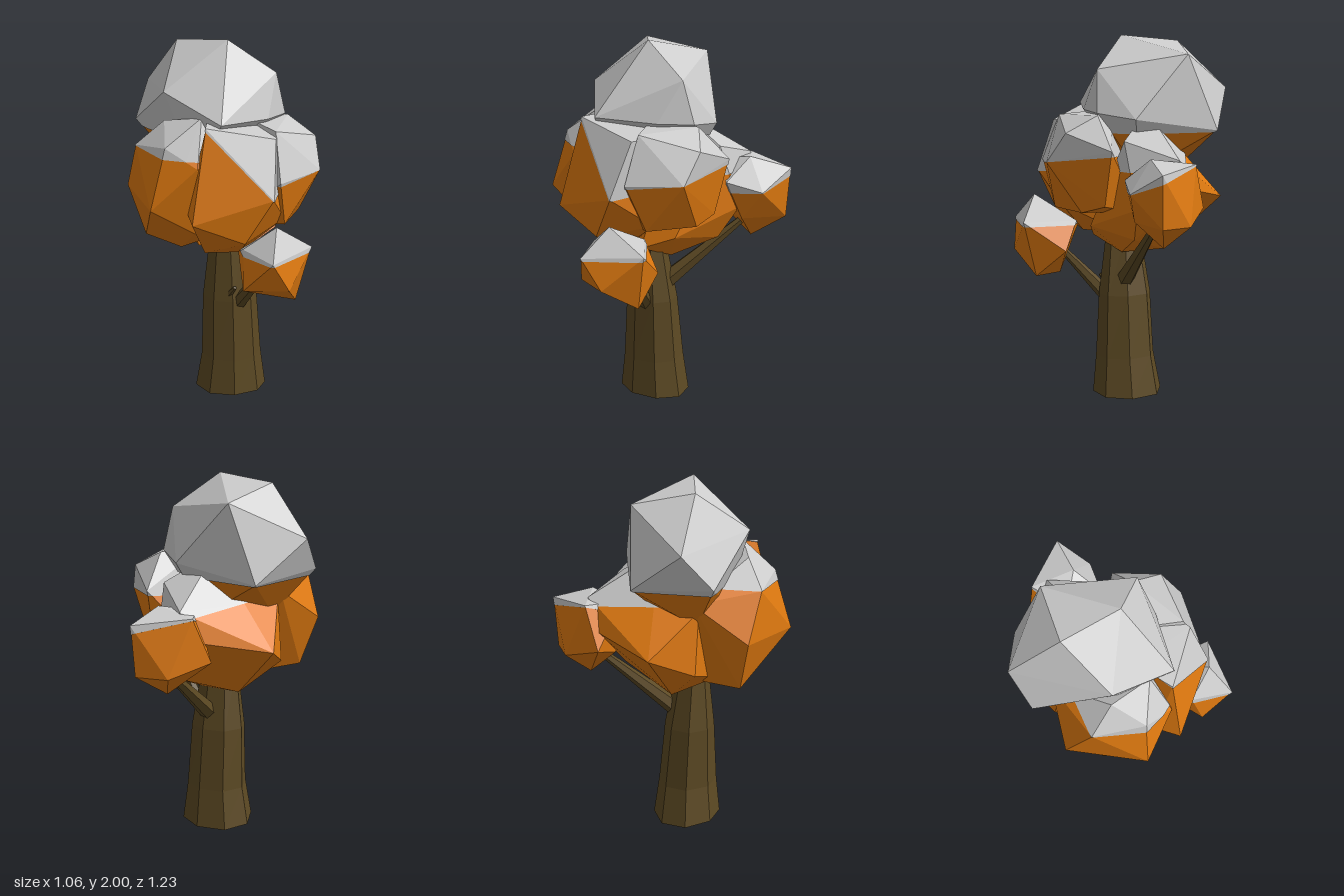
import * as THREE from 'three';
import { ConvexGeometry } from 'three/addons/geometries/ConvexGeometry.js';

const V = (a) => new THREE.Vector3(...a);
const leafMat = new THREE.MeshStandardMaterial({ color: 0xe07a10, flatShading: true });
const barkMat = new THREE.MeshStandardMaterial({ color: 0x5c4923, flatShading: true });
const snowMat = new THREE.MeshStandardMaterial({ color: 0xcccccc, flatShading: true });

// Part of a convex point set lying above a plane
function above(points, plane) {
  const up = points.filter((p) => plane.distanceToPoint(p) >= 0);
  const down = points.filter((p) => plane.distanceToPoint(p) < 0);
  const cut = [];
  for (const a of up) {
    for (const b of down) {
      const da = plane.distanceToPoint(a), db = plane.distanceToPoint(b);
      cut.push(a.clone().lerp(b, da / (da - db)));
    }
  }
  return [...up, ...cut];
}

// Faceted clump of leaves with a snow cap above a tilted plane
function clump(name, corners, normal, through) {
  const group = new THREE.Group();
  group.name = name;
  const pts = corners.map(V);
  const mid = new THREE.Box3().setFromPoints(pts).getCenter(new THREE.Vector3());
  const inner = pts.map((p) => p.clone().sub(mid).multiplyScalar(0.985).add(mid));
  const leaves = new THREE.Mesh(new ConvexGeometry(inner), leafMat);
  leaves.name = name + 'Leaves';
  const plane = new THREE.Plane().setFromNormalAndCoplanarPoint(V(normal).normalize(), V(through));
  const snow = new THREE.Mesh(new ConvexGeometry(above(pts, plane)), snowMat);
  snow.name = name + 'Snow';
  group.add(leaves, snow);
  return group;
}

// Tapered branch between two points
function branch(name, from, to, r0, r1) {
  const a = V(from), b = V(to), dir = b.clone().sub(a);
  const mesh = new THREE.Mesh(new THREE.CylinderGeometry(r1, r0, dir.length(), 6), barkMat);
  mesh.position.copy(a).add(b).multiplyScalar(0.5);
  mesh.quaternion.setFromUnitVectors(new THREE.Vector3(0, 1, 0), dir.normalize());
  mesh.name = name;
  return mesh;
}

// Leaning trunk: each ring is [y, centre x, centre z, radius x, radius z]
function trunk() {
  const rings = [
    [0.01, 0.032, 0.072, 0.2, 0.19],
    [0.22, 0.037, 0.08, 0.168, 0.165],
    [0.57, 0.03, 0.087, 0.152, 0.138],
    [0.9, 0.022, 0.1, 0.104, 0.088],
    [1.15, 0.02, 0.1, 0.085, 0.075],
  ];
  const geo = new THREE.CylinderGeometry(1, 1, rings.length - 1, 8, rings.length - 1, false, Math.PI / 8);
  const p = geo.attributes.position;
  for (let i = 0; i < p.count; i++) {
    const [y, cx, cz, rx, rz] = rings[Math.round(p.getY(i) + (rings.length - 1) / 2)];
    const tilt = y < 0.1 ? 0.01 * p.getZ(i) : 0;
    // Uneven section, flattened on the front left diagonal
    const flat = 0.045 * (p.getX(i) + p.getZ(i)) ** 2;
    p.setXYZ(i, cx + (p.getX(i) - flat) * rx, y + tilt, cz + (p.getZ(i) - flat) * rz);
  }
  const mesh = new THREE.Mesh(geo, barkMat);
  mesh.name = 'trunk';
  return mesh;
}

export function createModel() {
  const tree = new THREE.Group();
  tree.name = 'snowyTree';

  // Trunk and branches
  tree.add(
    trunk(),
    branch('frontBranch', [0.1, 0.56, 0.15], [0.29, 0.82, 0.31], 0.042, 0.02),
    branch('frontTwig', [0.03, 0.58, 0.17], [0.09, 0.66, 0.21], 0.025, 0.01),
    branch('backBranch', [0.05, 0.62, 0.06], [0.18, 1, -0.38], 0.055, 0.022),
  );

  // Crown
  tree.add(clump('topClump', [
    [0.02, 2, 0.1], [-0.29, 1.97, -0.01], [-0.12, 1.9, -0.3], [0.26, 1.82, 0],
    [-0.27, 1.75, 0.305], [-0.51, 1.71, -0.17], [0.07, 1.62, 0.42], [0.3, 1.59, -0.05],
    [0.25, 1.6, 0.14], [0.18, 1.56, -0.23], [-0.53, 1.52, 0], [-0.28, 1.49, -0.36],
    [-0.3, 1.25, 0], [0.05, 1.25, -0.1], [-0.1, 1.3, 0.25],
  ], [0, 1, 0], [0, 1.48, 0]));

  tree.add(clump('frontClump', [
    [0, 1.615, 0.47], [0.33, 1.54, 0.31], [0.355, 1.25, 0.44], [-0.04, 1.13, 0.595],
    [0.21, 1.01, 0.47], [-0.11, 1.16, 0.46], [-0.04, 0.9, 0.36], [0.14, 0.9, 0.3],
    [0.36, 1.08, 0.2], [-0.04, 1.63, 0.25], [0.3, 1.55, 0], [0, 0.9, 0.15],
  ], [0.71, 0.7, 0.06], [0.01, 1.59, 0.46]));

  tree.add(clump('leftClump', [
    [0.31, 1.58, -0.07], [0.32, 1.57, 0.27], [0.475, 1.49, -0.01], [0.525, 1.33, 0.1],
    [0.37, 1.32, 0.365], [0.34, 1.4, -0.235], [0.37, 1.06, 0.25], [0.39, 1.06, -0.03],
    [0.33, 1.1, -0.16], [0.05, 1.04, 0.25], [0.05, 1.04, -0.1], [0.1, 1.6, 0.1],
  ], [0, 1, 0.12], [0.4, 1.32, 0.2]));

  tree.add(clump('rightClump', [
    [-0.05, 1.64, 0.36], [-0.27, 1.6, 0.3], [-0.21, 1.5, 0.485], [-0.43, 1.46, 0.31],
    [-0.03, 1.41, 0.51], [-0.27, 1.18, 0.565], [-0.52, 1.2, 0.2], [-0.42, 0.92, 0.2],
    [-0.2, 0.88, 0.25], [-0.06, 1.04, 0.46], [-0.35, 1.4, -0.05], [-0.18, 0.89, 0.08],
    [0.1, 1.5, 0.25], [0.08, 1, 0.25],
  ], [0.02, 1, 0.05], [-0.3, 1.45, 0.4]));

  tree.add(clump('backClump', [
    [0.09, 1.36, -0.48], [0, 1.2, -0.48], [-0.37, 1.12, -0.3], [0.25, 1.45, -0.22],
    [0.26, 1.1, -0.34], [-0.36, 1, -0.03], [-0.13, 0.815, -0.08], [0.1, 0.81, 0],
    [0.2, 0.92, -0.24], [0, 1.6, -0.1], [-0.33, 1.35, 0], [0.28, 0.97, 0.05],
    [0.15, 0.89, 0.2], [-0.12, 0.88, 0.2],
  ], [0.15, 1, 0], [0.05, 1.32, -0.45]));

  tree.add(clump('smallBackClump', [
    [0.315, 1.31, -0.615], [0.225, 1.37, -0.41], [0.37, 1.2, -0.42], [0.01, 1.34, -0.52],
    [0.12, 1.03, -0.61], [0.3, 1.03, -0.6], [0.17, 0.9, -0.45], [-0.08, 1.1, -0.48],
    [0.27, 1.25, -0.25], [0.05, 1.33, -0.3], [0.28, 1.04, -0.34], [0.05, 1.04, -0.34],
  ], [0.3, 1, 0.26], [0.31, 1.26, -0.6]));

  tree.add(clump('smallFrontClump', [
    [0.37, 1.115, 0.45], [0.53, 0.98, 0.32], [0.39, 0.97, 0.615], [0.45, 0.67, 0.32],
    [0.46, 0.8, 0.53], [0.22, 0.79, 0.56], [0.3, 0.68, 0.3], [0.14, 0.93, 0.35],
    [0.2, 0.99, 0.48], [0.25, 0.98, 0.21], [0.35, 0.82, 0.17],
  ], [0, 1, 0], [0.37, 0.955, 0.4]));

  return tree;
}
